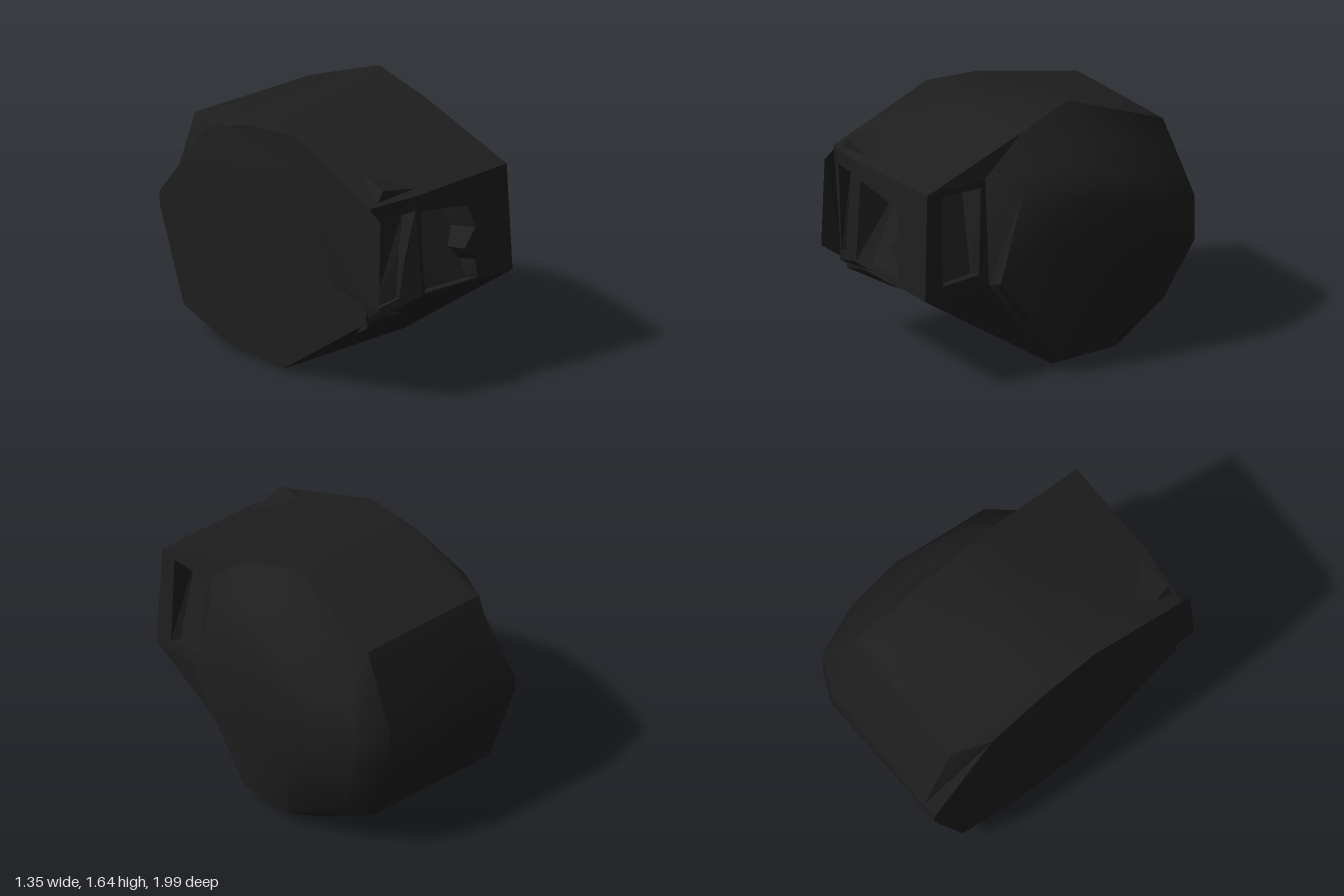
import * as THREE from 'three';
import { toCreasedNormals } from 'three/addons/utils/BufferGeometryUtils.js';
import { ConvexGeometry } from 'three/addons/geometries/ConvexGeometry.js';

const V = (x, y, z) => new THREE.Vector3(x, y, z);
const material = new THREE.MeshStandardMaterial({ color: 0x1e1e1e, side: THREE.DoubleSide });

// Mesh from a list of triangles, smooth only across edges below the crease angle
function meshFrom(name, tris, crease) {
  const geo = new THREE.BufferGeometry().setFromPoints(tris);
  geo.computeVertexNormals();
  const mesh = new THREE.Mesh(toCreasedNormals(geo, crease), material);
  mesh.name = name;
  return mesh;
}

// Skin consecutive rings; skip leaves one strip open
function loft(rings, skip = -1) {
  const tris = [];
  for (let r = 0; r + 1 < rings.length; r++) {
    const p = rings[r], q = rings[r + 1], n = p.length;
    for (let i = 0; i < n; i++) {
      if (i === skip) continue;
      const j = (i + 1) % n;
      tris.push(p[i], q[i], q[j], p[i], q[j], p[j]);
    }
  }
  return tris;
}

function fan(ring) {
  const tris = [];
  for (let i = 1; i + 1 < ring.length; i++) tris.push(ring[0], ring[i], ring[i + 1]);
  return tris;
}

// Four-cornered panel with a sunken pocket, laid out in u (right) and v (up)
function pocketPanel(name, [p00, p10, p11, p01], hole, depth, shrink) {
  const at = (u, v) => p00.clone().lerp(p10, u).lerp(p01.clone().lerp(p11, u), v);
  const shape = new THREE.Shape([[0, 0], [1, 0], [1, 1], [0, 1]].map(p => new THREE.Vector2(...p)));
  shape.holes.push(new THREE.Path(hole.map(p => new THREE.Vector2(...p))));
  const flat = new THREE.ShapeGeometry(shape).toNonIndexed().attributes.position;
  const tris = [];
  for (let i = 0; i < flat.count; i++) tris.push(at(flat.getX(i), flat.getY(i)));
  const cu = hole.reduce((s, p) => s + p[0], 0) / hole.length;
  const rim = hole.map(([u, v]) => at(u, v));
  // the floor leans back toward the top
  const floor = hole.map(([u, v]) =>
    at(cu + (u - cu) * shrink, v).addScaledVector(depth, 0.2 + 0.8 * v));
  tris.push(...loft([floor, rim]), ...fan(floor));
  return meshFrom(name, tris, 0.1);
}

export function createModel() {
  const group = new THREE.Group();

  // Cross-sections, each running front top, over the back, to front bottom
  const rightEnd = [
    V(-0.65, 1.27, 0.91), V(-0.65, 1.53, 0.23), V(-0.65, 1.5, -0.15),
    V(-0.65, 1.38, -0.56), V(-0.65, 0.84, -1), V(-0.65, 0.75, -0.995),
    V(-0.65, 0.18, -0.78), V(-0.65, 0.04, -0.36), V(-0.65, 0.02, 0.11),
    V(-0.65, 0.52, 0.86),
  ];
  const leftEnd = [
    V(0.39, 1.31, 0.95), V(0.36, 1.54, 0.25), V(0.32, 1.65, -0.12),
    V(0.36, 1.39, -0.78), V(0.36, 0.9, -0.97), V(0.36, 0.62, -0.965),
    V(0.3, 0.18, -0.76), V(0.38, 0.01, -0.34), V(0.38, 0.005, 0.04),
    V(0.41, 0.64, 0.98),
  ];
  const bevel = rightEnd.map((p, i) => p.clone().lerp(leftEnd[i], 0.1));
  bevel[3].set(-0.55, 1.38, -0.79);
  const mid = bevel.map((p, i) => p.clone().lerp(leftEnd[i], 0.24));
  mid[0].set(-0.32, 1.28, 0.95);
  mid[9].set(-0.32, 0.655, 0.99);
  for (const i of [0, 9]) bevel[i].lerpVectors(rightEnd[i], mid[i], 0.3);

  // Main drum: right cap and wrapped skin, open at the front
  group.add(meshFrom('body', [...fan(rightEnd), ...loft([rightEnd, bevel, mid, leftEnd], 9)], 0.8));

  // Front face in two panels: narrow recess and window
  group.add(pocketPanel('frontRecess', [rightEnd[9], mid[9], mid[0], rightEnd[0]],
    [[0.15, 0.08], [0.6, 0.08], [0.72, 0.45], [0.95, 0.86], [0.18, 0.86]], V(0, 0, -0.1), 0.9));
  group.add(pocketPanel('frontWindow', [mid[9], leftEnd[9], leftEnd[0], mid[0]],
    [[0.03, 0.83], [0.03, 0.02], [0.62, 0.02], [0.6, 0.2], [0.49, 0.33], [0.62, 0.5], [0.55, 0.74]],
    V(0, -0.04, -0.3), 0.75));

  // Left side: recessed panel between the front block and the disc
  const step = leftEnd.map(p => p.clone());
  step[0].set(0.39, 1.32, 0.53);
  step[9].set(0.43, 0.65, 0.53);
  group.add(meshFrom('sideStep', loft([leftEnd, step], 9), 0.1));
  group.add(pocketPanel('sideRecess', [leftEnd[9], step[9], step[0], leftEnd[0]],
    [[0.28, 0.1], [0.85, 0.12], [0.92, 0.93], [0.25, 0.95]], V(-0.16, 0, 0), 0.75));

  // Domed side disc
  const rim = [
    V(0.56, 1.25, 0.37), V(0.52, 1.37, 0.15), V(0.43, 1.49, -0.08),
    V(0.52, 1.16, -0.78), V(0.55, 0.93, -0.88), V(0.56, 0.65, -0.87),
    V(0.5, 0.3, -0.69), V(0.56, 0.1, -0.3), V(0.55, 0.1, 0.08),
    V(0.54, 0.69, 0.52),
  ];
  const apex = V(0.67, 1.03, -0.4);
  const inner = rim.map(p => {
    const q = p.clone().lerp(apex, 0.5);
    q.x = 0.63;
    return q;
  });
  group.add(meshFrom('disc', loft([step, rim, inner, inner.map(() => apex)]), 0.9));

  // Small loose plates
  const plates = {
    rightFin: [V(-0.65, 1.25, 0.9), V(-0.68, 1.2, 0.37), V(-0.64, 1.2, 0.98),
      V(-0.66, 0.64, 0.99), V(-0.63, 0.53, 0.84), V(-0.66, 0.75, 0.5)],
    topTab: [V(-0.57, 1.35, 0.77), V(-0.54, 1.35, 0.89), V(-0.28, 1.3, 0.89),
      V(-0.58, 1.28, 0.89), V(-0.5, 1.38, 0.68)],
    bottomTab: [V(-0.62, 0.47, 0.83), V(-0.56, 0.39, 0.68), V(-0.22, 0.44, 0.72),
      V(-0.45, 0.52, 0.83), V(-0.6, 0.6, 0.85)],
  };
  for (const [name, points] of Object.entries(plates)) {
    const mesh = new THREE.Mesh(new ConvexGeometry(points), material);
    mesh.name = name;
    group.add(mesh);
  }
  return group;
}
